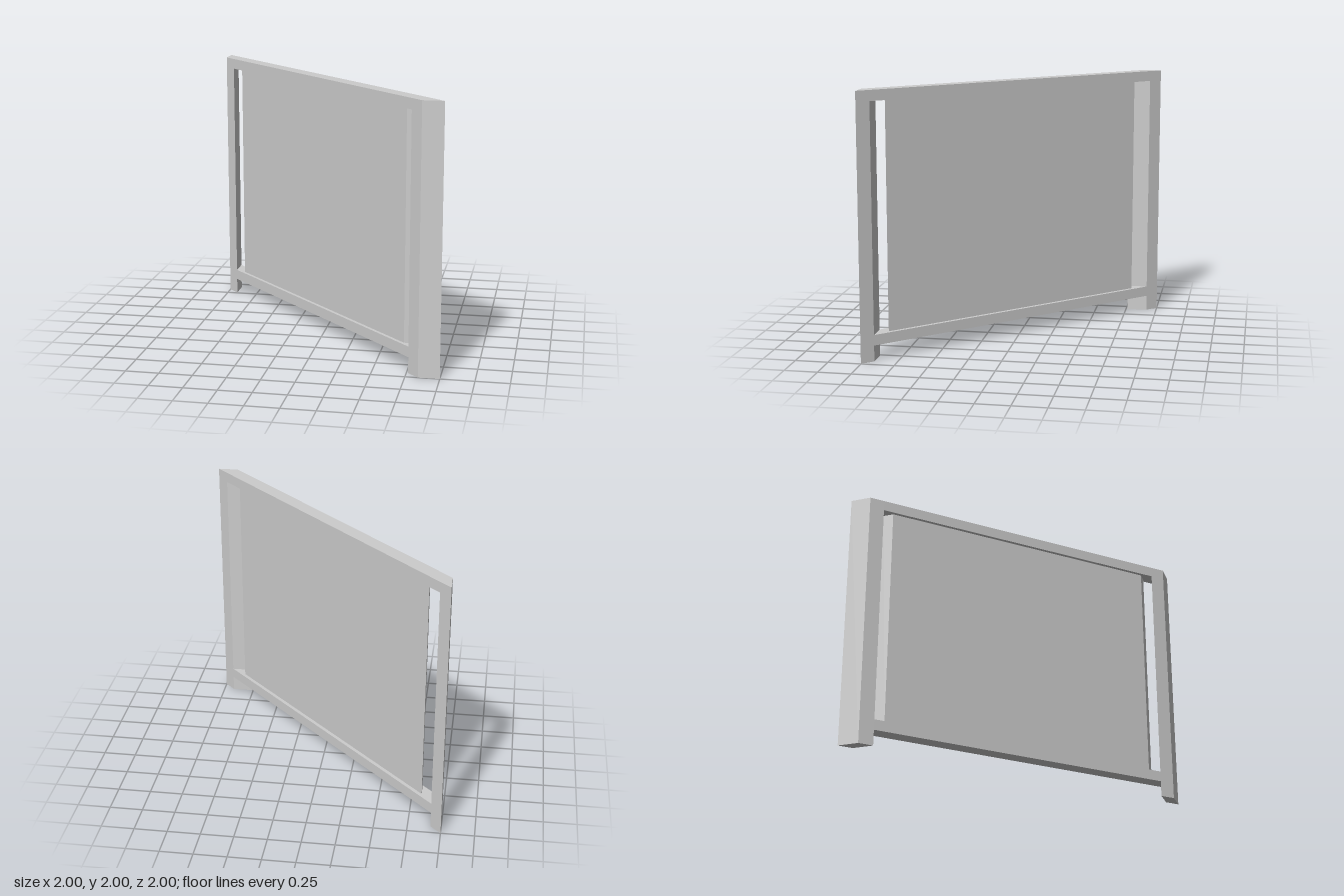
import * as THREE from 'three';

const material = new THREE.MeshStandardMaterial({ color: 0xcccccc, flatShading: true });
const DEPTH = 0.157; // frame depth measured along z

// Upright prism on the diagonal: each end lies at distance t along the line z = x,
// the left ends are cut square to x, the right ends square to z.
// near/far are the z offsets of the back and front faces.
function footprint(back, front, left, right, leftCut = 'x', rightCut = 'z') {
  const corner = (t, off, cut) => (cut === 'x' ? [t, t + off] : [t - off, t]);
  return [
    corner(left, front, leftCut),
    corner(right, front, rightCut),
    corner(right, back, rightCut),
    corner(left, back, leftCut),
  ];
}

function prism(name, points, y0, y1) {
  const shape = new THREE.Shape(points.map(([x, z]) => new THREE.Vector2(x, -z)));
  const geometry = new THREE.ExtrudeGeometry(shape, { depth: y1 - y0, bevelEnabled: false });
  geometry.rotateX(-Math.PI / 2);
  geometry.translate(0, y0, 0);
  const mesh = new THREE.Mesh(geometry, material);
  mesh.name = name;
  return mesh;
}

export function createModel() {
  const group = new THREE.Group();
  group.name = 'diagonalFramedPanel';

  // End posts, reaching the ground as feet
  group.add(prism('rightPost', footprint(0, DEPTH, -1, -0.92, 'x', 'x'), 0, 2));
  group.add(prism('leftPost', footprint(0, DEPTH, 0.92, 1, 'z', 'z'), 0, 2));

  // Rails between the posts
  const rail = footprint(0, DEPTH, -0.92, 0.92);
  group.add(prism('bottomRail', rail, 0.12, 0.2));
  group.add(prism('topRail', rail, 1.92, 2));

  // Inset panel, leaving a slot beside each post
  group.add(prism('panel', footprint(0.04, 0.12, -0.84, 0.84), 0.2, 1.92));

  return group;
}
